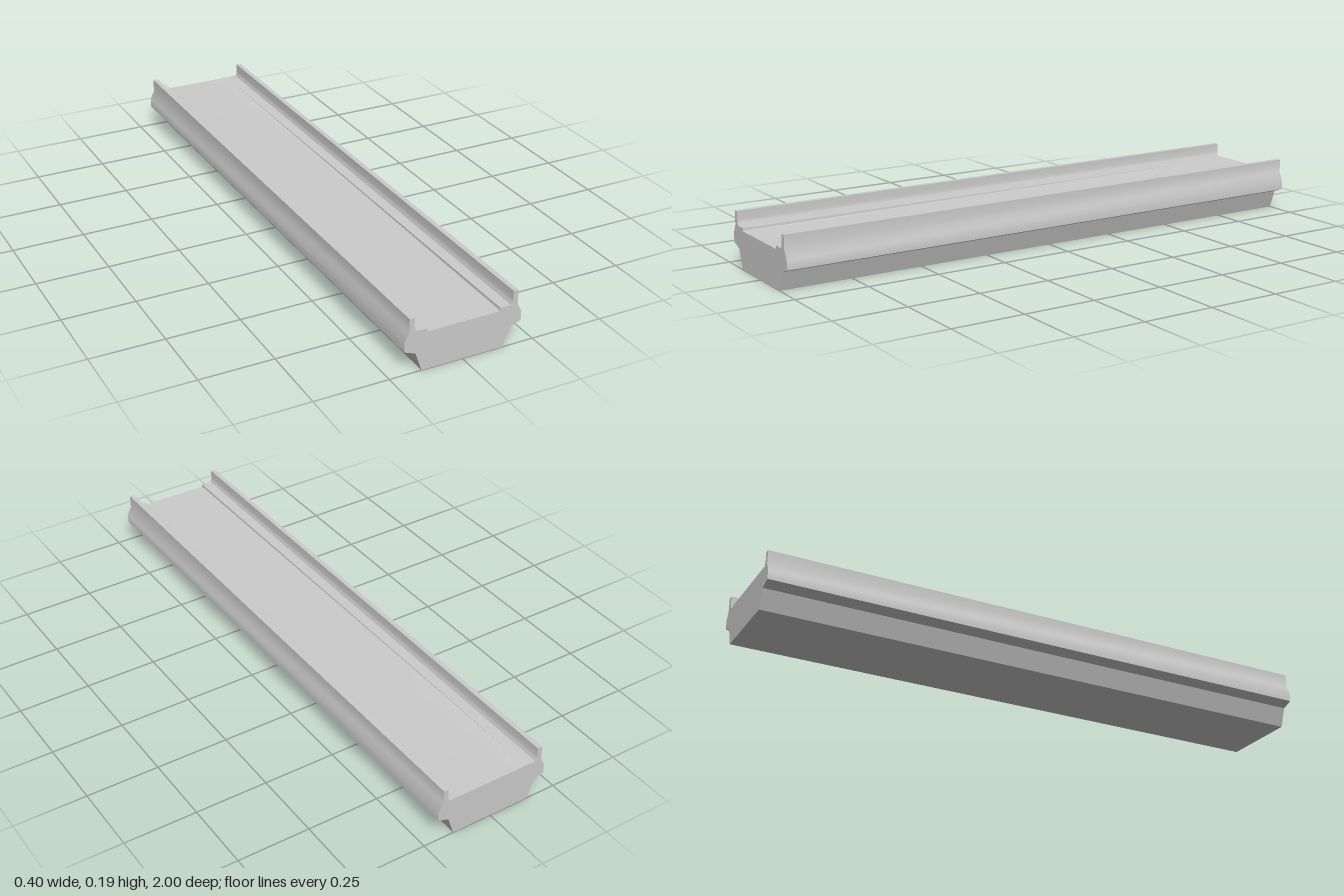
import * as THREE from 'three';
import { toCreasedNormals } from 'three/addons/utils/BufferGeometryUtils.js';

const LENGTH = 2;
const DECK_Y = 0.141;
const RECESS_Y = 0.13;

// Right half of the cross-section, from the bottom round to the deck's recess
const half = [
  [0.141, 0], [0.164, 0.065], [0.202, 0.079], [0.202, 0.111], // tapered belly and side ledge
  [0.187, DECK_Y], [0.187, 0.188], [0.17, 0.188],             // parapet
  [0.17, 0.158], [0.168, 0.149], [0.164, DECK_Y],             // curved foot of the parapet
  [0.127, DECK_Y], [0.126, 0.132], [0.124, RECESS_Y],         // recess edge
];

export function createModel() {
  const group = new THREE.Group();
  group.name = 'bridgeSection';

  const mirrored = half.map(([x, y]) => [-x, y]).reverse();
  const shape = new THREE.Shape([...half, ...mirrored].map(([x, y]) => new THREE.Vector2(x, y)));
  const geometry = new THREE.ExtrudeGeometry(shape, { depth: LENGTH, bevelEnabled: false });
  geometry.translate(0, 0, -LENGTH / 2);

  // The recess floor ramps up to deck level at the back
  const pos = geometry.attributes.position;
  for (let i = 0; i < pos.count; i++) {
    const y = pos.getY(i);
    const inRecess = Math.abs(pos.getX(i)) < 0.1265 && y > 0.1;
    if (inRecess && pos.getZ(i) < 0) pos.setY(i, DECK_Y - (DECK_Y - y) * 0.02);
  }

  const deck = new THREE.Mesh(
    toCreasedNormals(geometry, 0.6),
    new THREE.MeshStandardMaterial({ color: 0xcccccc }),
  );
  deck.name = 'bridgeDeck';
  group.add(deck);
  return group;
}
